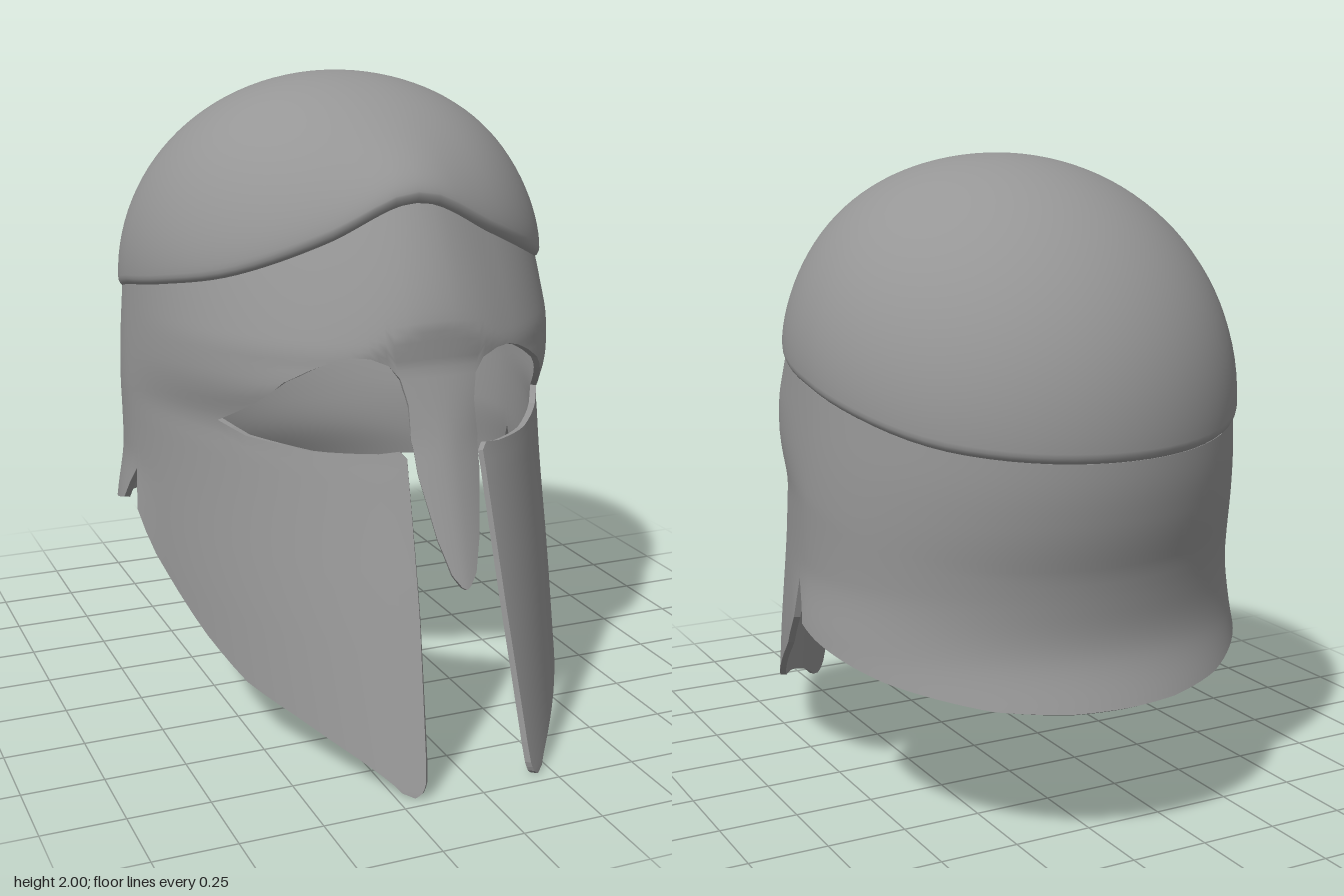
import * as THREE from 'three';

const CZ = -0.25;      // centre of the horizontal sections
const THICK = 0.02;    // metal thickness
const { lerp, smoothstep } = THREE.MathUtils;
const spow = (v, e) => Math.sign(v) * Math.pow(Math.abs(v), e);

// Piecewise linear lookup through [t, value] points.
function line(pts) {
  return t => {
    if (t <= pts[0][0]) return pts[0][1];
    for (let i = 1; i < pts.length; i++) {
      const [a, va] = pts[i - 1], [b, vb] = pts[i];
      if (t <= b) return lerp(va, vb, (t - a) / (b - a));
    }
    return pts[pts.length - 1][1];
  };
}

// Smooth lookup: cubic segments with averaged slopes and flat ends.
function smooth(pts) {
  const slope = i => (i === 0 || i === pts.length - 1) ? 0
    : (pts[i + 1][1] - pts[i - 1][1]) / (pts[i + 1][0] - pts[i - 1][0]);
  return t => {
    if (t <= pts[0][0]) return pts[0][1];
    for (let i = 1; i < pts.length; i++) {
      const [a, va] = pts[i - 1], [b, vb] = pts[i];
      if (t > b) continue;
      const h = b - a, s = (t - a) / h, r = 1 - s;
      return va * (1 + 2 * s) * r * r + slope(i - 1) * h * s * r * r
        + vb * s * s * (3 - 2 * s) - slope(i) * h * s * s * r;
    }
    return pts[pts.length - 1][1];
  };
}

// Section sizes by height; angle 0 is the front, PI the back.
const frontZ = line([[0, 1.06], [0.58, 0.87], [1.2, 0.66], [1.3, 0.66]]);
const backZ = smooth([[0.3, -1.03], [0.45, -0.955], [0.6, -0.895], [0.75, -0.895], [1, -0.935], [1.2, -0.96]]);
const halfX = smooth([[0.4, 0.705], [0.8, 0.695], [1.2, 0.7]]);
const neckFlare = smooth([[0.45, 0.03], [0.6, 0.02], [0.78, 0]]);
const frontPower = smooth([[0.9, 1.66], [1, 1.68], [1.15, 2], [1.27, 2.2]]);
const rimY = smooth([[0, 1.685], [0.1, 1.67], [0.37, 1.575], [0.81, 1.465], [1.23, 1.405],
  [1.57, 1.36], [1.8, 1.325], [2.4, 1.235], [Math.PI, 1.205]]);

// Outlines, as [angle, height].
const eyeTop = line([[0, 1.17], [0.168, 1.17], [0.2, 1.21], [0.267, 1.232], [0.339, 1.235], [0.42, 1.22],
  [0.526, 1.19], [0.643, 1.15], [0.791, 1.07], [0.96, 0.99]]);
const eyeBottom = line([[0.24, 0.945], [0.27, 0.965], [0.36, 0.955], [0.6, 0.945], [0.85, 0.96], [0.96, 0.99]]);
const lowerEdge = line([[0.35, 0], [0.41, 0.008], [0.57, 0.08], [0.75, 0.15], [0.91, 0.2], [1.06, 0.295], [1.2, 0.4],
  [1.31, 0.48], [1.43, 0.6], [1.46, 0.73], [1.575, 0.61], [1.71, 0.585], [2.14, 0.52], [2.6, 0.467], [2.9, 0.452],
  [Math.PI, 0.45]]);
const cheekFront = line([[0, 0.36], [0.012, 0.335], [0.04, 0.315], [0.1, 0.305], [0.5, 0.265], [0.95, 0.24]]);
const noseWidth = line([[0.58, 0], [0.585, 0.035], [0.62, 0.09], [0.72, 0.145], [0.9, 0.2], [1, 0.21],
  [1.1, 0.168], [1.17, 0.168]]);

const domeX = a => 0.69 * spow(Math.sin(a), Math.cos(a) > 0 ? 0.93 : 1);
const domeZ = a => Math.cos(a) > 0 ? 0.76 * spow(Math.cos(a), 0.93) : 0.72 * Math.cos(a);

// Wall surface: oval sections, more pointed low at the front, that blend into the dome rim.
function wall(a, y) {
  const c = Math.cos(a), front = c > 0, e = front ? 2 / frontPower(y) : 1;
  const x = (halfX(y) + neckFlare(y) * smoothstep(a, 1.25, 1.57)) * spow(Math.sin(a), e);
  const z = (front ? frontZ(y) - CZ : CZ - backZ(y)) * spow(c, e);
  const s = Math.min(1, (rimY(Math.abs(a)) - 0.03 - y) / 0.34);
  const k = 1 - Math.pow(1 - s, 1.25);
  return new THREE.Vector3(lerp(domeX(a) * 0.982, x, k), y, CZ + lerp(domeZ(a) * 0.982, z, k));
}

function wallNormal(a, y) {
  const d = 0.015;
  const da = wall(a + d, y).sub(wall(a - d, y));
  const dy = wall(a, y - d).sub(wall(a, y + d));
  return dy.cross(da).normalize();
}

// Thick plate: at(u, v) returns [angle, height]; us lists the columns.
function plate(us, rows, at, side) {
  const pos = [], nor = [], cols = us.length - 1;
  const grid = us.map(u => Array.from({ length: rows + 1 }, (_, j) => {
    const [a, y] = at(u, j / rows), o = wall(a, y), n = wallNormal(a, y);
    return { o, n, i: o.clone().addScaledVector(n, -THICK), m: n.clone().negate() };
  }));
  const tri = (p, n) => {
    for (const k of side > 0 ? [0, 1, 2] : [0, 2, 1]) {
      pos.push(p[k].x * side, p[k].y, p[k].z);
      nor.push(n[k].x * side, n[k].y, n[k].z);
    }
  };
  for (let i = 0; i < cols; i++) for (let j = 0; j < rows; j++) {
    const a = grid[i][j], b = grid[i + 1][j], c = grid[i][j + 1], d = grid[i + 1][j + 1];
    for (const [p, q, r] of [[a, c, b], [b, c, d]]) {
      tri([p.o, q.o, r.o], [p.n, q.n, r.n]);
      tri([p.i, r.i, q.i], [p.m, r.m, q.m]);
    }
  }
  // Cut edge around the plate
  const loop = [];
  for (let i = 0; i < cols; i++) loop.push(grid[i][0]);
  for (let j = 0; j < rows; j++) loop.push(grid[cols][j]);
  for (let i = cols; i > 0; i--) loop.push(grid[i][rows]);
  for (let j = rows; j > 0; j--) loop.push(grid[0][j]);
  loop.forEach((p, k) => {
    const q = loop[(k + 1) % loop.length];
    const n = q.o.clone().sub(p.o).cross(p.i.clone().sub(p.o)).normalize();
    tri([p.o, q.o, p.i], [n, n, n]);
    tri([q.o, q.i, p.i], [n, n, n]);
  });
  const g = new THREE.BufferGeometry();
  g.setAttribute('position', new THREE.Float32BufferAttribute(pos, 3));
  g.setAttribute('normal', new THREE.Float32BufferAttribute(nor, 3));
  return g;
}

// Column angles: every stop, with the spans between them subdivided.
function columns(stops) {
  const out = [stops[0]];
  for (let i = 1; i < stops.length; i++) {
    const n = Math.ceil((stops[i] - stops[i - 1]) / 0.06);
    for (let k = 1; k <= n; k++) out.push(lerp(stops[i - 1], stops[i], k / n));
  }
  return out;
}

// Dome: smooth meridians from the apex to the sloping rim, with a small turned-in lip.
function domeGeometry() {
  const seg = 72, rings = 28, pos = [], idx = [];
  const lip = [[0.998, -0.012], [0.99, -0.024], [0.972, -0.034]];
  const last = rings + lip.length;
  for (let j = 0; j <= last; j++) for (let i = 0; i < seg; i++) {
    const a = i / seg * Math.PI * 2, c = Math.cos(a), rim = rimY(a > Math.PI ? 2 * Math.PI - a : a);
    if (j <= rings) {
      const f = j / rings * Math.PI / 2, s = Math.sin(f), base = 1.39 + 0.22 * c;
      const rise = Math.pow(Math.max(0, Math.cos(f)), 1 + 0.45 * Math.max(0, c) ** 2);
      pos.push(domeX(a) * s, lerp(base, 2, rise) + (rim - base) * s ** 6, lerp(-0.15, CZ + domeZ(a), s));
    } else {
      const [k, dy] = lip[j - rings - 1];
      pos.push(domeX(a) * k, rim + dy, CZ + domeZ(a) * k);
    }
  }
  for (let j = 0; j < last; j++) for (let i = 0; i < seg; i++) {
    const n = (i + 1) % seg, a = j * seg + i, b = j * seg + n, c = a + seg, d = b + seg;
    if (j > 0) idx.push(a, c, b);
    idx.push(b, c, d);
  }
  const g = new THREE.BufferGeometry();
  g.setAttribute('position', new THREE.Float32BufferAttribute(pos, 3));
  g.setIndex(idx);
  g.computeVertexNormals();
  for (let i = 0; i < seg; i++) g.attributes.normal.setXYZ(i, 0, 1, 0);
  return g;
}

export function createModel() {
  const model = new THREE.Group();
  model.name = 'helmet';
  const metal = new THREE.MeshStandardMaterial({ color: 0x969696, side: THREE.DoubleSide });
  const add = (name, geometry) => {
    const mesh = new THREE.Mesh(geometry, metal);
    mesh.name = name;
    model.add(mesh);
  };

  add('dome', domeGeometry());

  const noseStops = [0, 0.168];
  const eyeStops = [0.2, 0.267, 0.339, 0.42, 0.526, 0.643, 0.791];
  const cheekStops = [0.96, 1.06, 1.2, 1.31, 1.43, 1.46];
  const neckStops = [1.46, 1.575, 1.71, 2.14, 2.6, 2.9, Math.PI];

  // Lower wall: the cheek leans its front edge outward toward the tip
  const lowerWall = (a, v) => {
    const lean = Math.max(0, (0.96 - a) / 0.72);
    const y = lerp(eyeBottom(a), lowerEdge(a + 0.11 * lean), 1 - (1 - v) ** 1.5);
    return [a + (cheekFront(y) - 0.24) * lean, y];
  };

  for (const [label, side] of [['left', 1], ['right', -1]]) {
    // Band from the rim down to the eye opening and around to the back
    add(label + 'Band', plate(columns([...noseStops, ...eyeStops, ...cheekStops, ...neckStops.slice(1)]), 18,
      (a, v) => [a, lerp(rimY(a) - 0.03, eyeTop(a), v)], side));
    // Nose guard, tapering to a rounded tip
    add(label + 'NoseGuard', plate(columns(noseStops), 34, (a, v) => {
      const y = lerp(1.17, 0.58, 1 - (1 - v) ** 1.5);
      return [noseWidth(y) * a / 0.168, y];
    }, side));
    // Cheek plate below the eye
    add(label + 'CheekPlate', plate(columns([0.24, 0.255, 0.27, 0.31, 0.36, 0.5, 0.72, 0.85, ...cheekStops]), 30,
      lowerWall, side));
    // Flared neck guard behind the notch
    add(label + 'NeckGuard', plate(columns(neckStops), 30, lowerWall, side));
  }
  return model;
}
